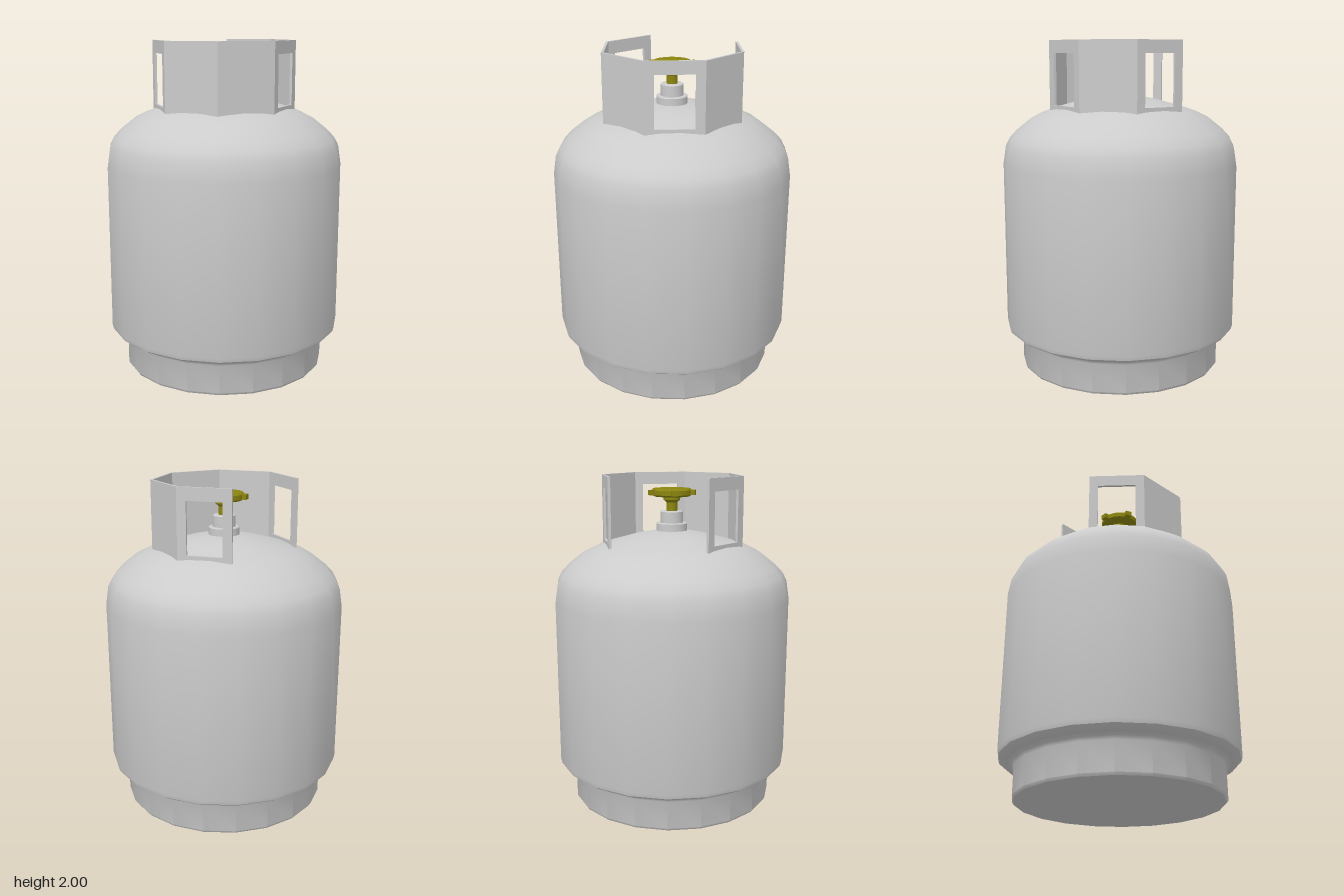
import * as THREE from 'three';
import { toCreasedNormals } from 'three/addons/utils/BufferGeometryUtils.js';

const SIDES = 20;
const grey = new THREE.MeshStandardMaterial({ color: 0xcccccc });
const olive = new THREE.MeshStandardMaterial({ color: 0x8c8510 });

// Turned part from [radius, height] pairs, listed bottom to top
function turned(name, profile, material) {
  const points = profile.map(([r, y]) => new THREE.Vector2(r, y));
  const geometry = toCreasedNormals(new THREE.LatheGeometry(points, SIDES), 0.62);
  const mesh = new THREE.Mesh(geometry, material);
  mesh.name = name;
  return mesh;
}

function rectangle(path, x0, y0, x1, y1) {
  path.moveTo(x0, y0);
  path.lineTo(x1, y0);
  path.lineTo(x1, y1);
  path.lineTo(x0, y1);
  path.closePath();
  return path;
}

// Guard collar: flat panels around the valve, some with a hand opening
function createCollar() {
  const collar = new THREE.Group();
  collar.name = 'guardCollar';
  const corners = [
    [0.14, -0.41], [0.38, -0.20], [0.41, 0.13], [0.19, 0.385],
    [-0.15, 0.405], [-0.40, 0.17], [-0.40, -0.175],
  ];
  const openPanels = [0, 2, 5];
  const bottom = 1.585, top = 2, margin = 0.055;
  for (let i = 0; i < corners.length - 1; i++) {
    const [x, z] = corners[i];
    const dx = corners[i + 1][0] - x;
    const dz = corners[i + 1][1] - z;
    const length = Math.hypot(dx, dz);
    const shape = rectangle(new THREE.Shape(), 0, bottom, length, top);
    const open = openPanels.includes(i);
    if (open) {
      shape.holes.push(rectangle(new THREE.Path(), margin, 1.62, length - margin, 1.925));
    }
    const panel = new THREE.Mesh(
      new THREE.ExtrudeGeometry(shape, { depth: 0.015, bevelEnabled: false }), grey);
    panel.name = open ? 'handlePanel' : 'collarPanel';
    panel.position.set(x, 0, z);
    panel.rotation.y = Math.atan2(-dz, dx);
    collar.add(panel);
  }
  return collar;
}

// Handwheel: chamfered disc on a stem, with five grip lugs
function createHandwheel() {
  const wheel = new THREE.Group();
  wheel.name = 'handwheel';
  wheel.add(turned('wheelDisc', [
    [0, 1.875], [0.105, 1.875], [0.12, 1.885], [0.12, 1.912], [0.11, 1.922], [0, 1.922],
  ], olive));
  wheel.add(turned('wheelStem', [
    [0.033, 1.77], [0.033, 1.84], [0.05, 1.855], [0.05, 1.88],
  ], olive));
  for (let i = 0; i < 5; i++) {
    const angle = THREE.MathUtils.degToRad(9 + i * 72);
    const lug = new THREE.Mesh(new THREE.BoxGeometry(0.045, 0.03, 0.04), olive);
    lug.name = 'gripLug';
    lug.position.set(Math.cos(angle) * 0.122, 1.9, Math.sin(angle) * 0.122);
    lug.rotation.y = -angle;
    wheel.add(lug);
  }
  return wheel;
}

export function createModel() {
  const model = new THREE.Group();
  model.name = 'gasCylinder';

  // Foot ring with a closed underside
  model.add(turned('footRing', [
    [0, 0], [0.61, 0], [0.62, 0.015], [0.62, 0.185], [0.632, 0.205], [0.66, 0.22],
  ], grey));

  // Tank with a rolled lower lip and a domed shoulder
  model.add(turned('tank', [
    [0.62, 0.21], [0.66, 0.217], [0.69, 0.23], [0.71, 0.245], [0.717, 0.27],
    [0.717, 1.26], [0.70, 1.37], [0.675, 1.42], [0.63, 1.468], [0.54, 1.54],
    [0.47, 1.575], [0.40, 1.60], [0.22, 1.65], [0, 1.69],
  ], grey));

  // Stepped valve body
  model.add(turned('valveBody', [
    [0.093, 1.65], [0.093, 1.715], [0.088, 1.72], [0.068, 1.72],
    [0.068, 1.785], [0.062, 1.79], [0, 1.79],
  ], grey));

  model.add(createHandwheel());
  model.add(createCollar());
  return model;
}
